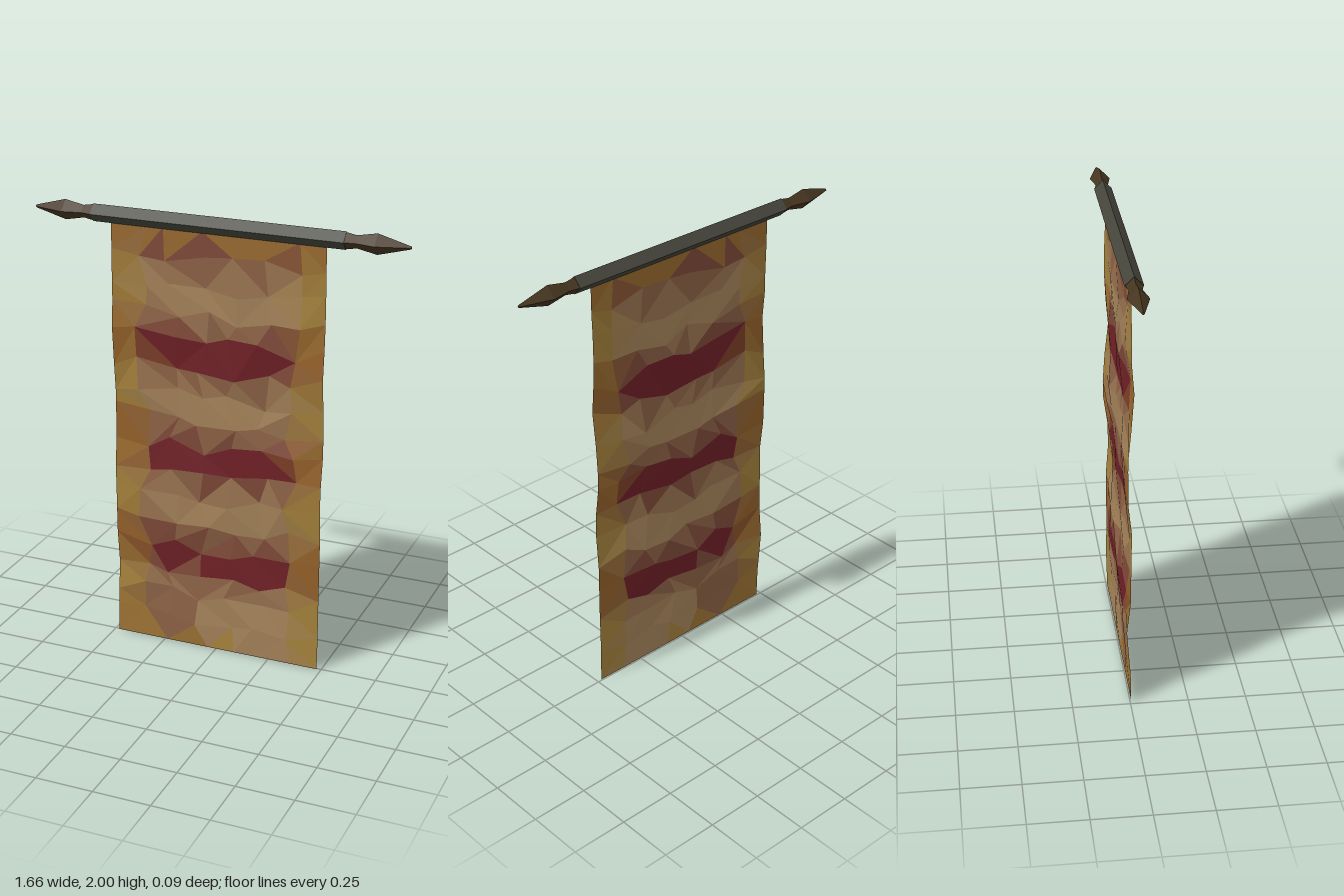
import * as THREE from 'three';

const WIDTH = 0.96, HEIGHT = 1.925, COLS = 7, ROWS = 16, ROD_Y = 1.956;

// Repeatable noise in -1..1 for a grid point
function noise(i, j, k) {
  const s = Math.sin(i * 127.1 + j * 311.7 + k * 74.7) * 43758.5453;
  return (s - Math.floor(s)) * 2 - 1;
}

// Grid point of the cloth: straight outline, jittered inside, rippled below the rod
function clothPoint(i, j) {
  const sideEdge = i === 0 || i === COLS;
  const endEdge = j === 0 || j === ROWS;
  const x = (i / COLS - 0.5) * WIDTH + (sideEdge ? 0 : noise(i, j, 1) * 0.04);
  const y = (j / ROWS) * HEIGHT + (endEdge ? 0 : noise(i, j, 2) * 0.035);
  const loose = THREE.MathUtils.clamp((1.8 - y) / 0.3, 0, 1);
  const z = loose * (0.006 * Math.sin(y * 9 + 1) + (endEdge ? 0 : noise(i, j, 3) * 0.009));
  return new THREE.Vector3(x, y, z);
}

const TAN = new THREE.Color(0xa5835a), RED = new THREE.Color(0x6e2026);
const GOLD = new THREE.Color(0xa5823c), OCHRE = new THREE.Color(0x93602a);

// Red and tan stripes that sag in the middle and fade to a golden border
function clothShade(x, y) {
  const sagY = y + 0.03 * Math.cos(x * 6);
  let red = 0.5 + 0.5 * Math.cos((2 * Math.PI * (sagY - 0.45)) / 0.48);
  if (y > 1.6) red *= 0.75;
  if (y < 0.25) red = x < -0.05 ? 0.5 : 0.1;
  let border = THREE.MathUtils.smoothstep(Math.abs(x), 0.26, 0.45);
  if (y > 1.86 || (y < 0.06 && x < 0.1)) border = 1;
  return [Math.round(red * 4), Math.round(border * 3)];
}

function buildCloth() {
  const cloth = new THREE.Group();
  cloth.name = 'cloth';
  const patches = new Map();
  const addTriangle = (a, b, c) => {
    const [red, border] = clothShade((a.x + b.x + c.x) / 3, (a.y + b.y + c.y) / 3);
    const key = red * 10 + border;
    if (!patches.has(key)) patches.set(key, { red, border, points: [] });
    patches.get(key).points.push(a, b, c);
  };
  for (let j = 0; j < ROWS; j++) {
    for (let i = 0; i < COLS; i++) {
      const a = clothPoint(i, j), b = clothPoint(i + 1, j);
      const c = clothPoint(i + 1, j + 1), d = clothPoint(i, j + 1);
      if (noise(i, j, 4) > 0) {
        addTriangle(a, b, c);
        addTriangle(a, c, d);
      } else {
        addTriangle(a, b, d);
        addTriangle(b, c, d);
      }
    }
  }
  // One mesh for each dye shade
  for (const { red, border, points } of patches.values()) {
    const inner = TAN.clone().lerp(RED, red / 4);
    const outer = GOLD.clone().lerp(OCHRE, red / 4);
    const geometry = new THREE.BufferGeometry().setFromPoints(points);
    geometry.computeVertexNormals();
    const mesh = new THREE.Mesh(geometry, new THREE.MeshStandardMaterial({
      color: inner.lerp(outer, border / 3), flatShading: true, side: THREE.DoubleSide,
    }));
    mesh.name = 'clothPatch';
    cloth.add(mesh);
  }
  return cloth;
}

export function createModel() {
  const model = new THREE.Group();
  model.name = 'hangingBanner';
  model.add(buildCloth());

  // Four-sided rod, standing on its edge
  const rod = new THREE.Mesh(
    new THREE.CylinderGeometry(0.038, 0.038, 1.12, 4),
    new THREE.MeshStandardMaterial({ color: 0x46453b, flatShading: true }),
  );
  rod.name = 'rod';
  rod.rotation.z = Math.PI / 2;
  rod.position.y = ROD_Y;
  model.add(rod);

  // Pointed finials: neck, widest ring, tip
  const profile = [[0.036, 0.555], [0.027, 0.605], [0.044, 0.69], [0.006, 0.83], [0, 0.83]]
    .map(([r, h]) => new THREE.Vector2(r, h));
  const finialGeometry = new THREE.LatheGeometry(profile, 4);
  const finialMaterial = new THREE.MeshStandardMaterial({ color: 0x45351f, flatShading: true });
  for (const side of [1, -1]) {
    const finial = new THREE.Mesh(finialGeometry, finialMaterial);
    finial.name = side > 0 ? 'leftFinial' : 'rightFinial';
    finial.rotation.z = (-side * Math.PI) / 2;
    finial.position.y = ROD_Y;
    model.add(finial);
  }
  return model;
}
